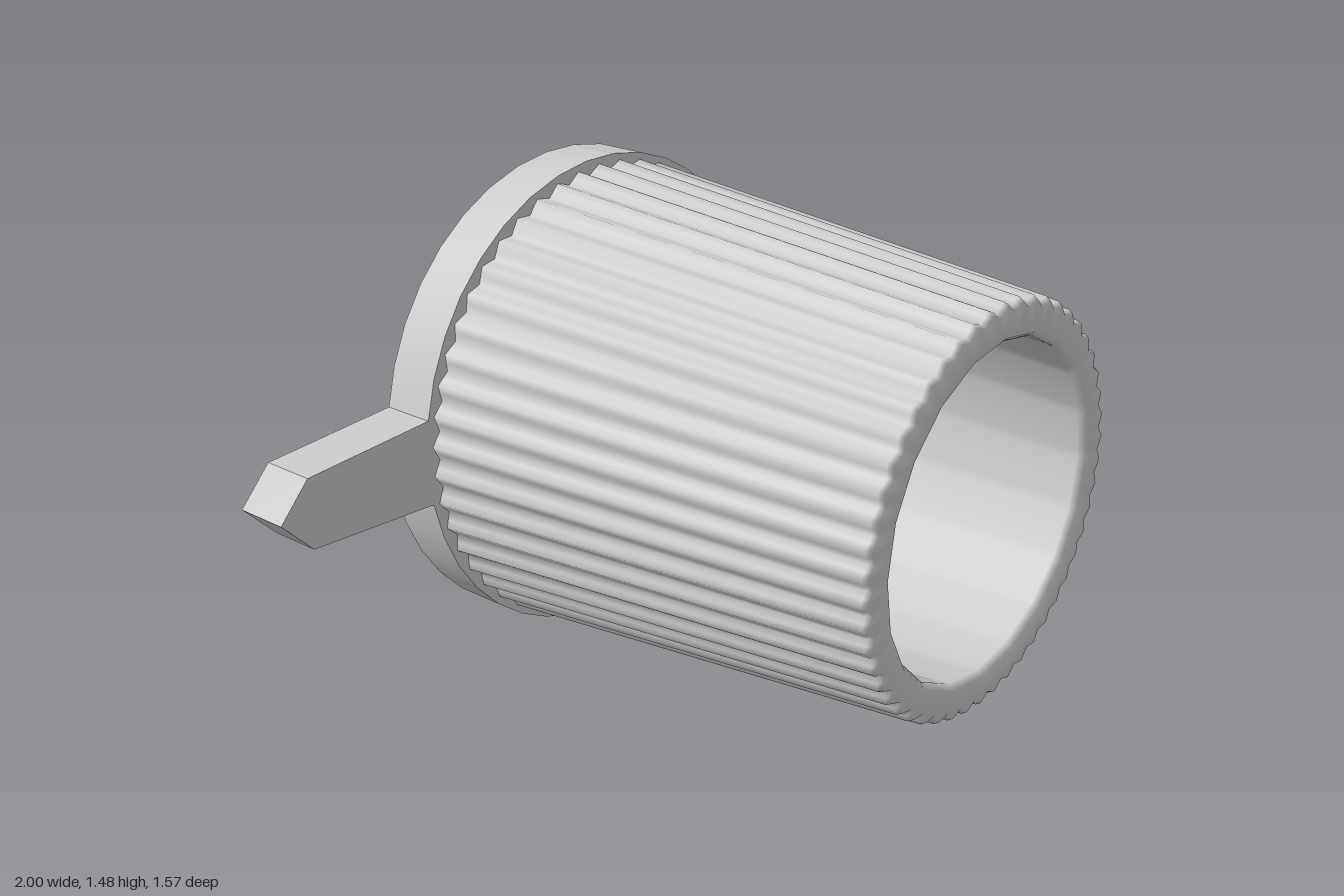
import * as THREE from 'three';
import { mergeVertices, toCreasedNormals } from 'three/addons/utils/BufferGeometryUtils.js';

const CX = 0.26, CY = 0.74;   // axis of the cup, which runs along z
const RIDGES = 50;

// Tapered hollow wall: outer skin pleated, inner opening faceted
function cupGeometry() {
  const profile = [
    [0.72, -0.63], [0.595, 0.77], [0.585, 0.785],   // ridged outside
    [0.5, 0.785], [0.485, 0.765],                   // rim
    [0.6, -0.58], [0.58, -0.6], [0, -0.6],          // inside wall and floor
  ].map(([r, z]) => new THREE.Vector2(r, z));
  const steps = RIDGES * 4;
  let geo = new THREE.LatheGeometry(profile, steps);
  const pos = geo.attributes.position;
  const facet = Math.PI * 2 / 20;
  for (let i = 0; i < pos.count; i++) {
    const step = Math.floor(i / profile.length) % steps;
    const ring = i % profile.length;
    const angle = step / steps * Math.PI * 2;
    let k = 1;
    if (ring < 3) {
      const wave = 0.5 - 0.5 * Math.cos(angle * RIDGES);
      k = 1 - 0.035 * wave;
    } else if (ring < 5) {
      k = Math.cos(facet / 2) / Math.cos((angle % facet) - facet / 2);
    }
    pos.setX(i, pos.getX(i) * k);
    pos.setZ(i, pos.getZ(i) * k);
  }
  geo.deleteAttribute('uv');
  geo.deleteAttribute('normal');
  geo = mergeVertices(geo, 1e-4);
  geo.computeVertexNormals();
  return geo.rotateX(Math.PI / 2);
}

// Round end plate with a pointed tab on one side, in a single outline
function plateGeometry() {
  const R = 0.74, sides = 36;
  const shape = new THREE.Shape();
  const gap = Math.asin(0.13 / R);
  for (let i = 0; i <= sides; i++) {
    const a = -Math.PI + gap + (Math.PI * 2 - gap * 2) * i / sides;
    const x = R * Math.cos(a), y = R * Math.sin(a);
    if (i === 0) shape.moveTo(x, y); else shape.lineTo(x, y);
  }
  shape.lineTo(-0.9 - CX, 0.105);
  shape.lineTo(-1 - CX, 0);
  shape.lineTo(-0.9 - CX, -0.105);
  shape.closePath();
  const geo = new THREE.ExtrudeGeometry(shape, { depth: 0.165, bevelEnabled: false });
  return toCreasedNormals(geo.translate(0, 0, -0.785), 0.6);
}

export function createModel() {
  const group = new THREE.Group();
  const grey = new THREE.MeshStandardMaterial({ color: 0xcccccc });
  const add = (name, geometry) => {
    const mesh = new THREE.Mesh(geometry, grey);
    mesh.name = name;
    mesh.position.set(CX, CY, 0);
    group.add(mesh);
  };
  add('ridgedCup', cupGeometry());
  add('endPlateWithTab', plateGeometry());
  return group;
}
